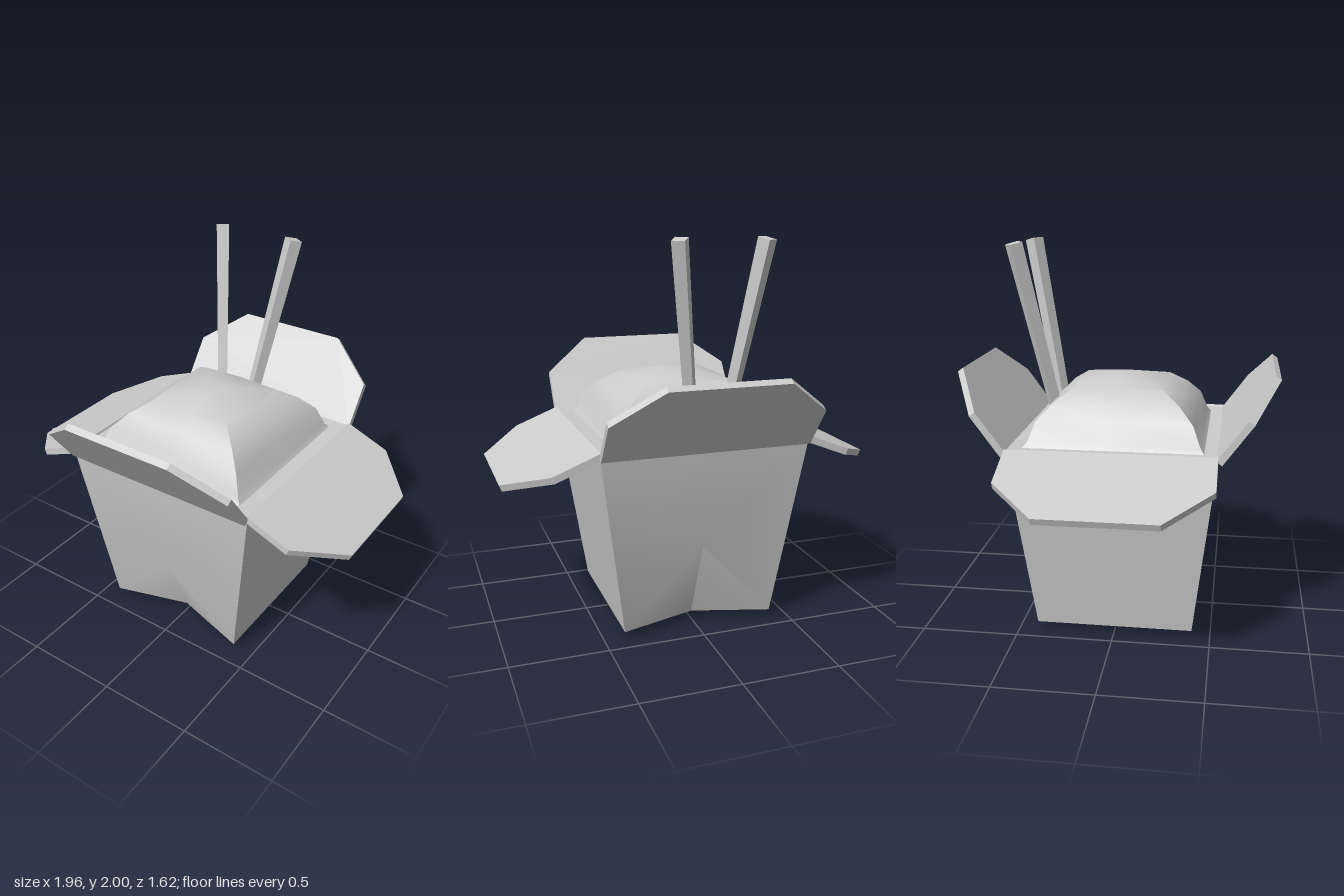
import * as THREE from 'three';
import { toCreasedNormals } from 'three/addons/utils/BufferGeometryUtils.js';

const card = new THREE.MeshStandardMaterial({ color: 0xcccccc });
card.name = 'pale grey';

// Geometry from triangles of [x, y, z] points, smooth across shallow folds
function fromTriangles(tris, crease) {
  const g = new THREE.BufferGeometry();
  g.setAttribute('position', new THREE.Float32BufferAttribute(tris.flat(2), 3));
  return toCreasedNormals(g, crease);
}

function add(parent, name, geometry) {
  const mesh = new THREE.Mesh(geometry, card);
  mesh.name = name;
  parent.add(mesh);
  return mesh;
}

// Tapered carton: front and back are pushed in at the foot, base sags
function cartonGeometry() {
  const foot = 0.035, rim = 1.0, tris = [];
  for (const s of [1, -1]) {
    const p = (x, y, z) => [s * x, y, s * z];
    const tl = p(-0.54, rim, 0.52), tr = p(0.54, rim, 0.52), trb = p(0.54, rim, -0.52);
    const bl = p(-0.4, foot, 0.405), br = p(0.4, foot, 0.405), brb = p(0.4, foot, -0.405);
    const dent = p(0, foot, 0.285), peak = p(0, 0.47, 0.457);
    tris.push([peak, tl, bl], [peak, bl, dent], [peak, dent, br], [peak, br, tr], [peak, tr, tl]);
    tris.push([br, brb, trb], [br, trb, tr]);
  }
  const a = [-0.4, foot, 0.405], b = [0.4, foot, 0.405], c = [0.4, foot, -0.405], d = [-0.4, foot, -0.405];
  const f = [0, foot, 0.285], k = [0, foot, -0.285], l = [-0.13, 0, -0.13], r = [0.13, 0, -0.13];
  tris.push([a, d, l], [d, k, l], [k, r, l], [k, c, r], [c, b, r], [b, f, r], [f, l, r], [f, a, l]);
  return fromTriangles(tris, 0.5);
}

// Rim and rice mound: square rings given as [half width, height, corner factor]
function fillingGeometry() {
  const rings = [[0.53, 1.01, 1], [0.45, 1.005, 1], [0.43, 1.03, 1], [0.395, 1.13, 0.99],
    [0.33, 1.205, 0.97], [0.24, 1.27, 0.94], [0.08, 1.308, 0.85], [0, 1.31, 1]];
  const dirs = [[1, 1], [1, 0], [1, -1], [0, -1], [-1, -1], [-1, 0], [-1, 1], [0, 1]];
  const at = ([h, y, c], i) => {
    const [x, z] = dirs[i % 8], k = x && z ? h * c : h;
    return [x * k, y, z * k];
  };
  const tris = [];
  for (let n = 0; n < rings.length - 1; n++) {
    for (let i = 0; i < 8; i++) {
      const p = at(rings[n], i), q = at(rings[n], i + 1), u = at(rings[n + 1], i), v = at(rings[n + 1], i + 1);
      tris.push([p, q, u]);
      if (rings[n + 1][0] > 0) tris.push([q, v, u]);
    }
  }
  return fromTriangles(tris, 0.7);
}

// Lid flap with clipped corners, hinged along its lower edge
function flapGeometry(half, kink, length, tip) {
  const shape = new THREE.Shape([[-half, 0], [half, 0], [half, kink], [tip, length], [-tip, length], [-half, kink]]
    .map(([x, y]) => new THREE.Vector2(x, y)));
  return new THREE.ExtrudeGeometry(shape, { depth: 0.035, bevelEnabled: false });
}

export function createModel() {
  const model = new THREE.Group();
  model.name = 'takeoutBox';
  const box = new THREE.Group();
  box.name = 'box';
  box.position.x = -0.006;
  model.add(box);
  add(box, 'carton', cartonGeometry());
  add(box, 'riceFilling', fillingGeometry());

  // Front and back flaps stand up, side flaps droop
  const upright = flapGeometry(0.54, 0.25, 0.46, 0.3);
  const droopy = flapGeometry(0.52, 0.25, 0.48, 0.29);
  const flaps = [['frontFlap', 0, upright, 0.63, 1.0, 0.51], ['leftFlap', 1, droopy, 1.95, 1.02, 0.535],
    ['backFlap', 2, upright, 0.63, 1.0, 0.51], ['rightFlap', 3, droopy, 1.95, 1.02, 0.535]];
  for (const [name, turn, geometry, tilt, y, out] of flaps) {
    const angle = turn * Math.PI / 2;
    const flap = add(box, name, geometry);
    flap.rotation.set(tilt, angle, 0, 'YXZ');
    flap.position.set(Math.sin(angle) * out, y, Math.cos(angle) * out);
  }

  // Square tapered chopsticks leaning back and apart
  for (const s of [1, -1]) {
    const top = new THREE.Vector3(s * 0.218, 1.99, -0.5), low = new THREE.Vector3(s * 0.1, 1.14, -0.33);
    const axis = top.clone().sub(low), length = axis.length();
    const geometry = new THREE.CylinderGeometry(0.047, 0.035, length, 4, 1).rotateY(Math.PI / 4);
    const stick = add(model, s > 0 ? 'leftChopstick' : 'rightChopstick', toCreasedNormals(geometry, 0.5));
    stick.rotation.set(Math.acos(axis.y / length), Math.atan2(axis.x, axis.z), 0, 'YXZ');
    stick.position.copy(top).add(low).multiplyScalar(0.5);
    stick.position.x -= 0.082;
  }
  return model;
}
